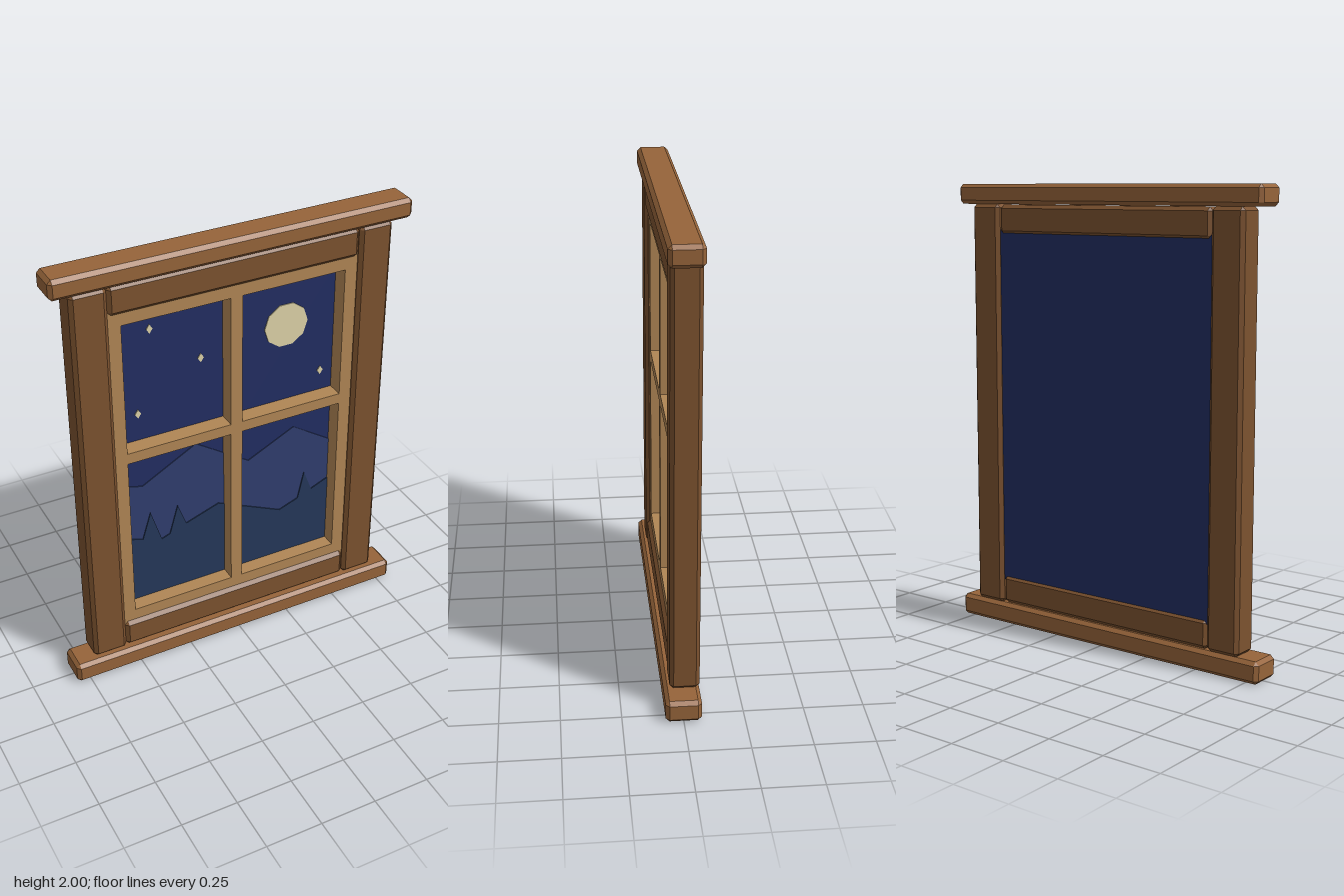
import * as THREE from 'three';
import { ConvexGeometry } from 'three/addons/geometries/ConvexGeometry.js';

const mat = (color) => new THREE.MeshStandardMaterial({ color, flatShading: true });
const trimWood = mat(0x96643a);
const frameWood = mat(0x7c522f);
const sashWood = mat(0xb08655);
const sky = mat(0x222e62);
const farHill = mat(0x303e6e);
const nearHill = mat(0x25385a);
const glow = mat(0xddd3a8);

// Box with every edge and corner chamfered by c
function beam(name, material, [x0, x1], [y0, y1], [z0, z1], c = 0.016) {
  const h = [(x1 - x0) / 2, (y1 - y0) / 2, (z1 - z0) / 2];
  const points = [];
  for (const sx of [-1, 1]) for (const sy of [-1, 1]) for (const sz of [-1, 1]) {
    for (let full = 0; full < 3; full++) {
      const p = [sx, sy, sz].map((s, i) => s * (h[i] - (i === full ? 0 : c)));
      points.push(new THREE.Vector3(...p));
    }
  }
  const mesh = new THREE.Mesh(new ConvexGeometry(points), material);
  mesh.position.set((x0 + x1) / 2, (y0 + y1) / 2, (z0 + z1) / 2);
  mesh.name = name;
  return mesh;
}

// Flat cut-out from z0 to z1
function cutout(name, material, shape, z0, z1) {
  const geo = new THREE.ExtrudeGeometry(shape, { depth: z1 - z0, bevelEnabled: false });
  const mesh = new THREE.Mesh(geo, material);
  mesh.position.z = z0;
  mesh.name = name;
  return mesh;
}

const polygon = (pts) => new THREE.Shape(pts.map(([x, y]) => new THREE.Vector2(x, y)));
const rect = (x0, x1, y0, y1) => [[x0, y0], [x1, y0], [x1, y1], [x0, y1]];
const ridge = (pts) => polygon([[-0.55, 0.24], [0.55, 0.24], ...pts.slice().reverse()]);

export function createModel() {
  const group = new THREE.Group();
  group.name = 'window';

  // Outer frame
  group.add(beam('sill', trimWood, [-0.811, 0.811], [0, 0.096], [-0.074, 0.074]));
  group.add(beam('headCap', trimWood, [-0.798, 0.798], [1.912, 2], [-0.074, 0.066]));
  for (const [name, s] of [['leftPost', 1], ['rightPost', -1]]) {
    const xs = [s * 0.561, s * 0.716].sort((a, b) => a - b);
    group.add(beam(name, frameWood, xs, [0.096, 1.912], [-0.074, 0.05]));
  }
  group.add(beam('topRail', frameWood, [-0.56, 0.56], [1.78, 1.91], [-0.067, 0.046]));
  group.add(beam('bottomRail', frameWood, [-0.56, 0.56], [0.098, 0.226], [-0.067, 0.046]));

  // Sash with four openings
  const sash = polygon(rect(-0.563, 0.563, 0.21, 1.795));
  for (const [x0, x1] of [[-0.505, -0.027], [0.027, 0.505]]) {
    for (const [y0, y1] of [[0.28, 1.07], [1.12, 1.725]]) {
      sash.holes.push(polygon(rect(x0, x1, y0, y1)));
    }
  }
  group.add(cutout('sash', sashWood, sash, -0.046, 0.03));

  // Night scene behind the sash
  group.add(cutout('skyPanel', sky, polygon(rect(-0.563, 0.563, 0.205, 1.8)), -0.057, -0.045));
  group.add(cutout('farHills', farHill, ridge([
    [-0.55, 0.917], [-0.415, 0.88], [-0.16, 1.02], [0.095, 0.85], [0.32, 0.96], [0.55, 0.81],
  ]), -0.046, -0.041));
  group.add(cutout('nearHillsAndTrees', nearHill, ridge([
    [-0.55, 0.64], [-0.425, 0.6], [-0.385, 0.73], [-0.335, 0.57], [-0.295, 0.585],
    [-0.255, 0.725], [-0.215, 0.615], [-0.055, 0.67], [0.255, 0.525], [0.35, 0.56],
    [0.38, 0.695], [0.42, 0.59], [0.55, 0.645],
  ]), -0.046, -0.036));

  // Ten-sided moon and diamond stars
  const moon = Array.from({ length: 10 }, (_, i) => {
    const a = (i * Math.PI) / 5;
    return [0.271 + 0.103 * Math.cos(a), 1.49 + 0.103 * Math.sin(a)];
  });
  group.add(cutout('moon', glow, polygon(moon), -0.046, -0.041));
  for (const [x, y] of [[-0.355, 1.635], [-0.225, 1.7], [-0.13, 1.44], [-0.42, 1.25], [0.445, 1.22]]) {
    const diamond = [[x + 0.014, y], [x, y + 0.021], [x - 0.014, y], [x, y - 0.021]];
    group.add(cutout('star', glow, polygon(diamond), -0.046, -0.041));
  }
  return group;
}
